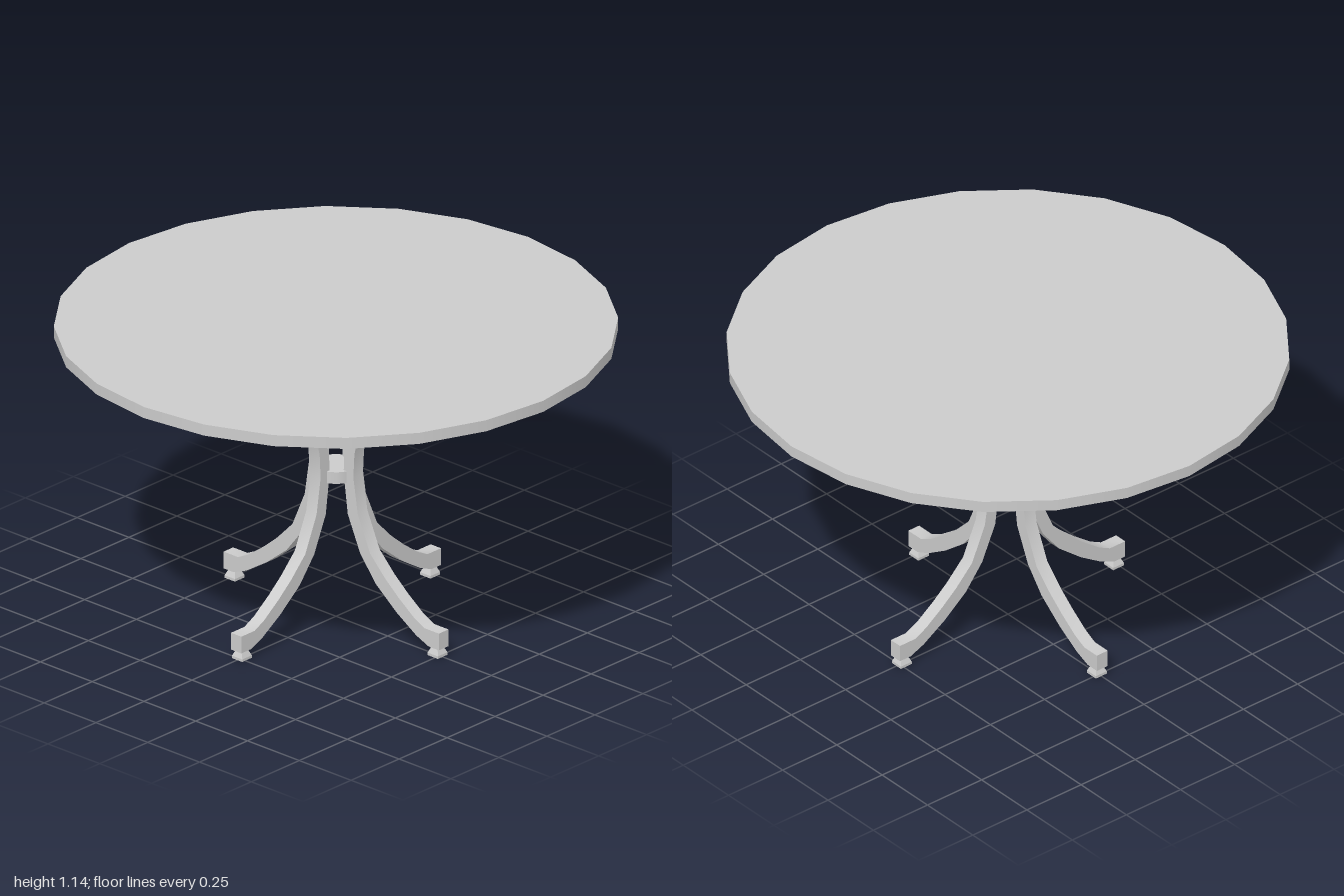
import * as THREE from 'three';
import { toCreasedNormals } from 'three/addons/utils/BufferGeometryUtils.js';

const material = new THREE.MeshStandardMaterial({ color: 0xcccccc });
const flatMaterial = new THREE.MeshStandardMaterial({ color: 0xcccccc, flatShading: true });

const LEG_WIDTH = 0.05;

// Side outline of one leg: outer edge from top to foot, then inner edge back up
const LEG_OUTLINE = [
  [0.49, 1.05], [0.40, 1.05], [0.28, 0.97], [0.195, 0.885], [0.14, 0.79],
  [0.112, 0.67], [0.107, 0.58], [0.128, 0.445], [0.187, 0.31], [0.26, 0.235],
  [0.325, 0.18], [0.40, 0.125], [0.45, 0.10], [0.52, 0.10],
  [0.52, 0.035], [0.47, 0.035], [0.41, 0.06], [0.315, 0.12], [0.215, 0.20],
  [0.14, 0.295], [0.08, 0.43], [0.06, 0.585], [0.064, 0.675], [0.085, 0.81],
  [0.135, 0.905], [0.225, 0.985], [0.32, 1.05], [0.40, 1.10], [0.49, 1.10],
];

function addMesh(parent, name, geometry, mat = material) {
  const mesh = new THREE.Mesh(geometry, mat);
  mesh.name = name;
  parent.add(mesh);
  return mesh;
}

function legGeometry() {
  const shape = new THREE.Shape(LEG_OUTLINE.map(([x, y]) => new THREE.Vector2(x, y)));
  const geometry = new THREE.ExtrudeGeometry(shape, { depth: LEG_WIDTH, bevelEnabled: false });
  geometry.translate(0, 0, -LEG_WIDTH / 2);
  return toCreasedNormals(geometry, 0.6);
}

// Square glide: a thin plate with a tapered neck
function glideGeometry() {
  const profile = [[0, 0], [0.025, 0], [0.025, 0.01], [0.013, 0.037], [0, 0.037]]
    .map(([halfWidth, y]) => new THREE.Vector2(halfWidth * Math.SQRT2, y));
  return new THREE.LatheGeometry(profile, 4, Math.PI / 4);
}

export function createModel() {
  const table = new THREE.Group();
  table.name = 'roundTable';

  // Round top
  const top = addMesh(table, 'tableTop', new THREE.CylinderGeometry(1, 1, 0.043, 24));
  top.position.y = 1.1215;

  // Collar tying the legs together
  const collar = addMesh(table, 'collar', new THREE.CylinderGeometry(0.08, 0.08, 0.045, 16));
  collar.position.y = 0.572;

  // Four curved legs, each standing on a glide
  const leg = legGeometry();
  const glide = glideGeometry();
  for (let i = 0; i < 4; i++) {
    const legGroup = new THREE.Group();
    legGroup.name = `legAssembly${i + 1}`;
    addMesh(legGroup, 'leg', leg);
    addMesh(legGroup, 'glide', glide, flatMaterial).position.x = 0.49;
    legGroup.rotation.y = (i * Math.PI) / 2;
    table.add(legGroup);
  }

  return table;
}
